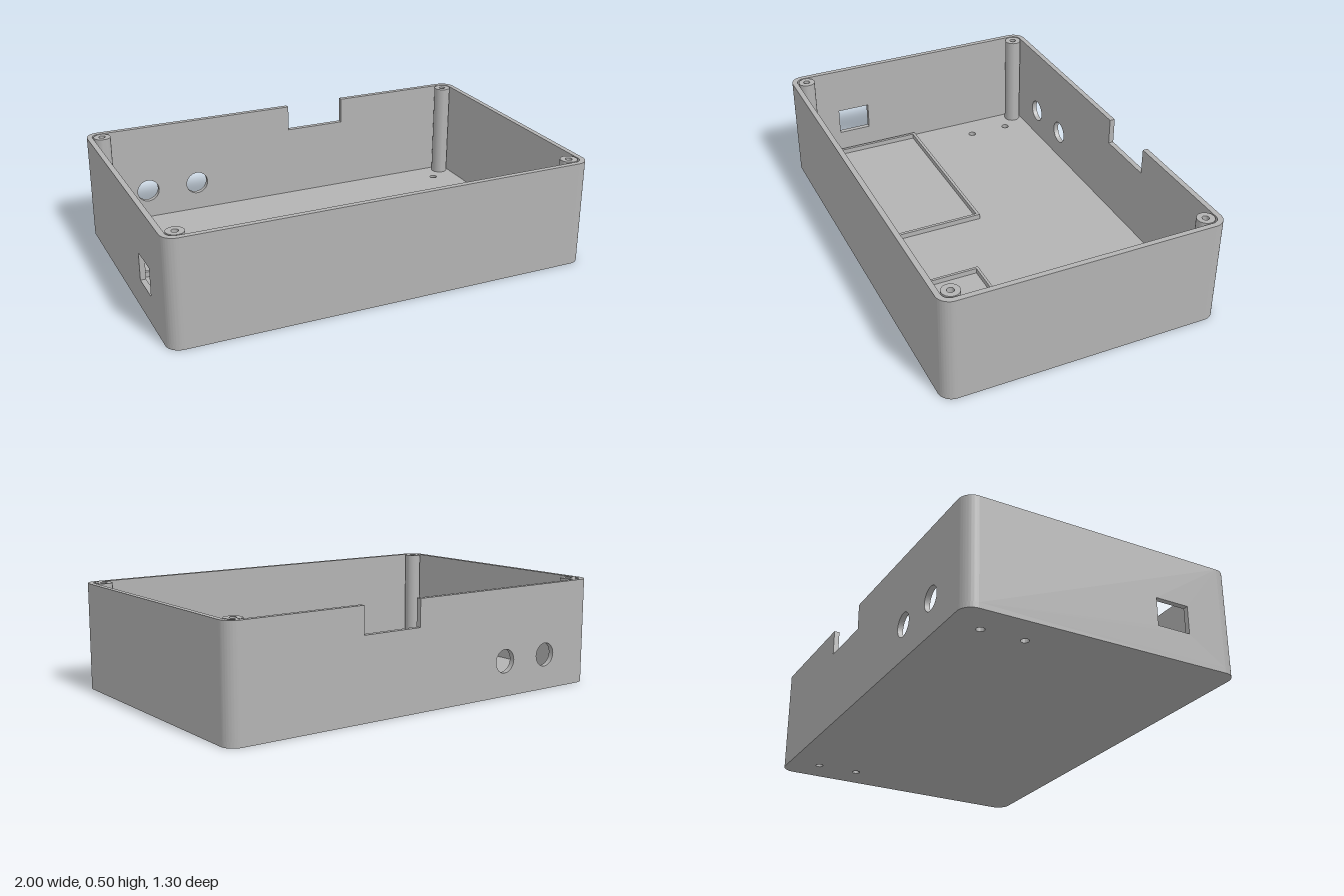
import * as THREE from 'three';
import { toCreasedNormals } from 'three/addons/utils/BufferGeometryUtils.js';

const W = 1, D = 0.65, H = 0.5;       // half width, half depth, height
const T = 0.025, R = 0.0625;          // wall thickness, corner radius

export function createModel() {
  const model = new THREE.Group();
  model.name = 'openEnclosure';
  const grey = new THREE.MeshStandardMaterial({ color: 0xb3b3b3 });
  grey.name = 'plastic grey';

  const extrude = (shape, depth) => toCreasedNormals(
    new THREE.ExtrudeGeometry(shape, { depth, bevelEnabled: false, curveSegments: 16 }), 0.5);
  const add = (name, geometry) => {
    const mesh = new THREE.Mesh(geometry, grey);
    mesh.name = name;
    model.add(mesh);
    return mesh;
  };
  const rect = (x0, y0, x1, y1, Type = THREE.Shape) => new Type([
    new THREE.Vector2(x0, y0), new THREE.Vector2(x1, y0),
    new THREE.Vector2(x1, y1), new THREE.Vector2(x0, y1)]);
  const circle = (x, y, r) => new THREE.Path().absarc(x, y, r, 0, Math.PI * 2, true);
  // Plan shapes use (x, -z) and rise upwards
  const plan = (name, shape, y, height) => {
    const mesh = add(name, extrude(shape, height).rotateX(-Math.PI / 2));
    mesh.position.y = y;
    return mesh;
  };

  // Floor with rounded corners and four screw holes
  const cx = W - R, cz = D - R;
  const floor = new THREE.Shape();
  floor.absarc(cx, cz, R, 0, Math.PI / 2);
  floor.absarc(-cx, cz, R, Math.PI / 2, Math.PI);
  floor.absarc(-cx, -cz, R, Math.PI, Math.PI * 1.5);
  floor.absarc(cx, -cz, R, Math.PI * 1.5, Math.PI * 2);
  for (const x of [-0.85, 0.85])
    for (const z of [-0.5, -0.3]) floor.holes.push(circle(x, -z, 0.018));
  plan('floor', floor, 0, T);

  // Rounded wall corners
  [[1, -1], [-1, -1], [-1, 1], [1, 1]].forEach(([sx, sz], i) => {
    const arc = new THREE.Shape();
    arc.absarc(0, 0, R, 0, Math.PI / 2);
    arc.absarc(0, 0, R - T, Math.PI / 2, 0, true);
    const corner = plan('wallCorner', arc, T, H - T);
    corner.position.set(sx * cx, T, sz * cz);
    corner.rotation.y = i * Math.PI / 2;
  });

  // Plain front wall
  add('frontWall', extrude(rect(-cx, T, cx, H), T)).position.z = D - T;

  // Back wall with a notch in the rim and two round ports
  const notchY = 0.375;
  const back = new THREE.Shape([
    [-cx, T], [cx, T], [cx, H], [0.35, H], [0.35, notchY], [0.05, notchY], [0.05, H], [-cx, H],
  ].map(p => new THREE.Vector2(...p)));
  for (const x of [-0.455, -0.71]) back.holes.push(circle(x, 0.165, 0.055));
  add('backWall', extrude(back, T)).position.z = -D;

  // Side walls, the right one with a rectangular port
  const sideWall = (name, x, shape) => {
    const mesh = add(name, extrude(shape, T));
    mesh.rotation.y = -Math.PI / 2;
    mesh.position.x = x;
  };
  sideWall('leftWall', W, rect(-cz, T, cz, H));
  const right = rect(-cz, T, cz, H);
  right.holes.push(rect(0.25, 0.14, 0.41, 0.27, THREE.Path));
  sideWall('rightWall', -W + T, right);

  // Hollow screw posts in the corners
  for (const x of [-0.93, 0.93])
    for (const z of [-0.58, 0.58]) {
      const ring = new THREE.Shape().absarc(0, 0, 0.04, 0, Math.PI * 2);
      ring.holes.push(circle(0, 0, 0.0155));
      plan('screwPost', ring, T, H - T).position.set(x, T, z);
    }

  // Raised locating frames on the floor
  const frame = (name, x0, z0, x1, z1, t) => {
    const outline = rect(x0, -z1, x1, -z0);
    outline.holes.push(rect(x0 + t, -z1 + t, x1 - t, -z0 - t, THREE.Path));
    plan(name, outline, T, 0.025);
  };
  frame('largeBoardFrame', -0.957, 0, -0.085, 0.592, 0.0145);
  frame('smallBoardFrame', 0.295, 0.182, 0.802, 0.57, 0.0125);

  return model;
}
